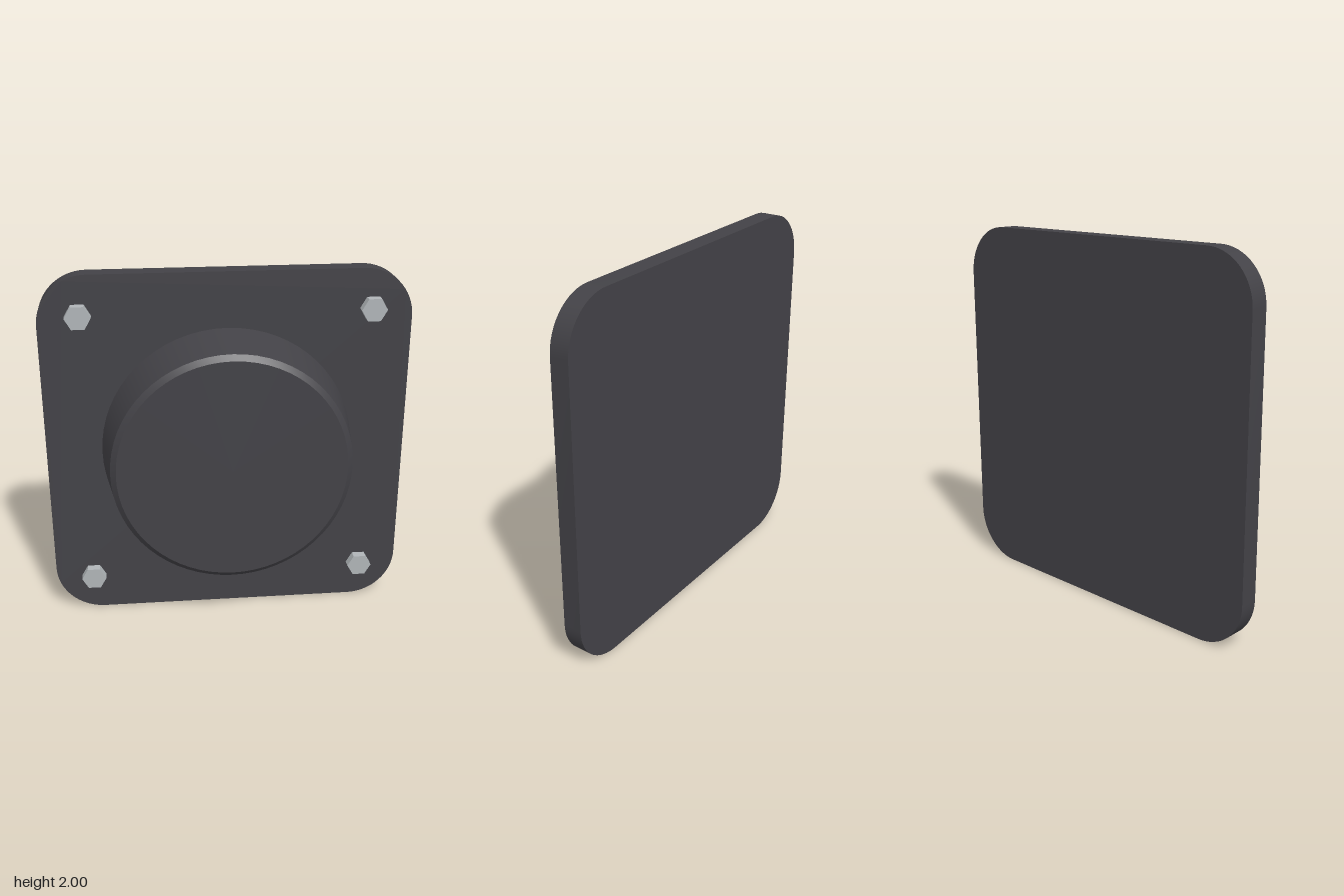
import * as THREE from 'three';
import { toCreasedNormals } from 'three/addons/utils/BufferGeometryUtils.js';

const BACK = -0.215, FACE = -0.11, FRONT = 0.215;

// Square outline with rounded corners, centred on the origin
function roundedSquare(h, r) {
  const c = h - r, s = new THREE.Shape();
  s.absarc(c, c, r, 0, Math.PI / 2);
  s.absarc(-c, c, r, Math.PI / 2, Math.PI);
  s.absarc(-c, -c, r, Math.PI, Math.PI * 1.5);
  s.absarc(c, -c, r, Math.PI * 1.5, Math.PI * 2);
  s.closePath();
  return s;
}

export function createModel() {
  const group = new THREE.Group();
  group.name = 'flangedCover';
  const dark = new THREE.MeshStandardMaterial({ color: 0x434247 });
  dark.name = 'dark grey';
  const steel = new THREE.MeshStandardMaterial({ color: 0xb0b5b8 });
  steel.name = 'light steel';

  const add = (name, geometry, material, x, y, z) => {
    const mesh = new THREE.Mesh(geometry, material);
    mesh.name = name;
    mesh.position.set(x, y, z);
    group.add(mesh);
  };

  // Mounting plate
  const plate = new THREE.ExtrudeGeometry(roundedSquare(1, 0.27), {
    depth: FACE - BACK, bevelEnabled: false, curveSegments: 8,
  });
  add('mountingPlate', toCreasedNormals(plate, 0.6), dark, 0, 1, BACK);

  // Tapered round boss with a chamfered rim
  const profile = [[0.695, 0], [0.65, 0.3], [0.62, FRONT - FACE], [0, FRONT - FACE]]
    .map(([r, h]) => new THREE.Vector2(r, h));
  const boss = new THREE.LatheGeometry(profile, 64).rotateX(Math.PI / 2);
  add('roundBoss', toCreasedNormals(boss, 0.4), dark, 0, 1, FACE);

  // Hexagonal bolt heads at the corners
  const head = new THREE.CylinderGeometry(0.07, 0.07, 0.05, 6).rotateY(Math.PI / 6).rotateX(Math.PI / 2);
  const bolt = toCreasedNormals(head, 0.3);
  for (const x of [-0.783, 0.783])
    for (const y of [-0.783, 0.783]) add('boltHead', bolt, steel, x, 1 + y, FACE + 0.025);

  return group;
}
